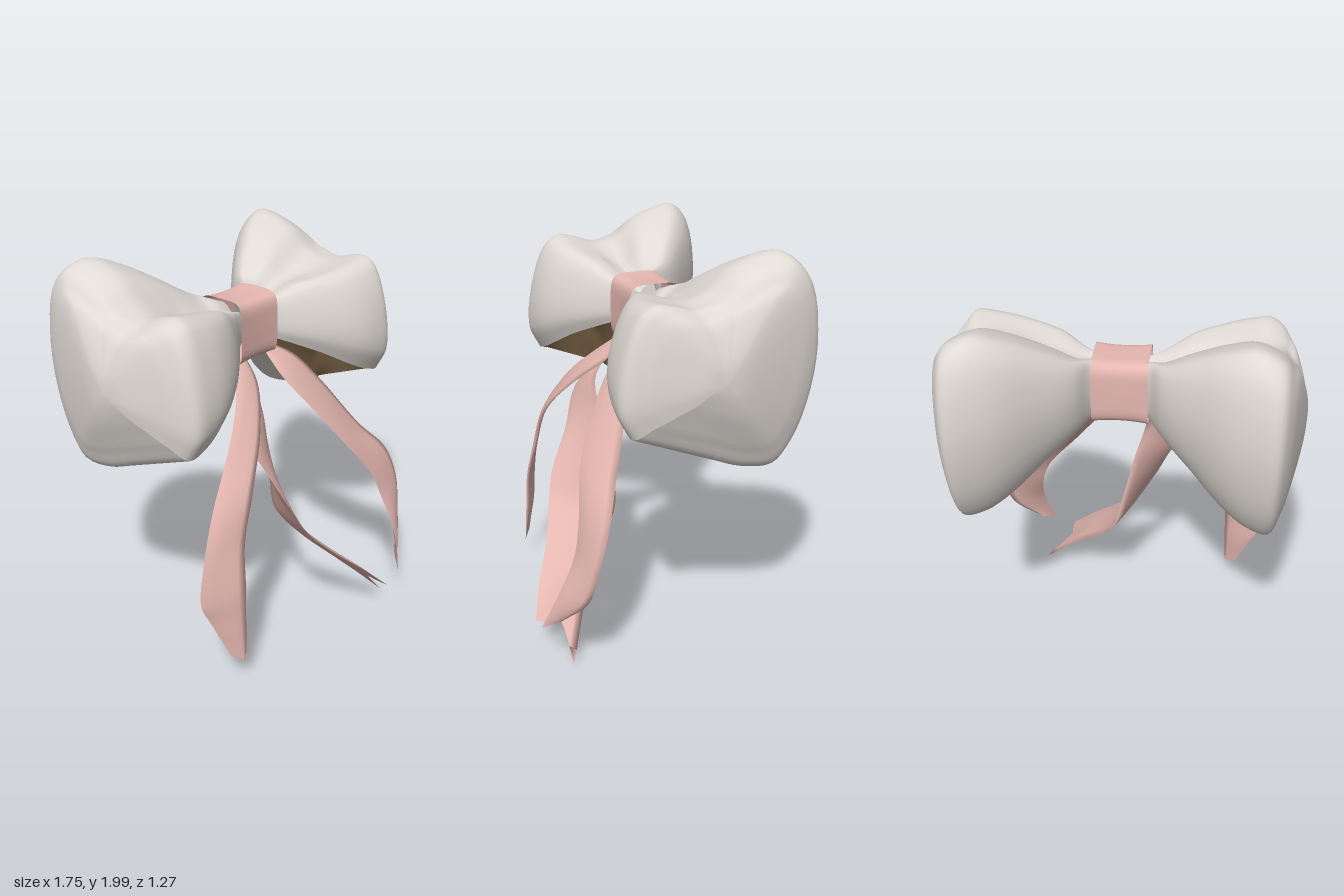
import * as THREE from 'three';

const mat = (name, color) => {
  const m = new THREE.MeshStandardMaterial({ color, side: THREE.DoubleSide });
  m.name = name;
  return m;
};
const V = (p) => new THREE.Vector3(...p);
const curve = (pts) => new THREE.CatmullRomCurve3(pts.map(V));
const { lerp, smoothstep } = THREE.MathUtils;

// Smooth skin over a grid of rows of points
function skin(name, rows, material, flip = false) {
  const w = rows[0].length, index = [];
  for (let i = 0; i < rows.length - 1; i++) {
    for (let j = 0; j < w - 1; j++) {
      const a = i * w + j, b = a + w;
      if (flip) index.push(a, a + 1, b, b, a + 1, b + 1);
      else index.push(a, b, a + 1, b, b + 1, a + 1);
    }
  }
  const g = new THREE.BufferGeometry().setFromPoints(rows.flat());
  g.setIndex(index);
  g.computeVertexNormals();
  const mesh = new THREE.Mesh(g, material);
  mesh.name = name;
  return mesh;
}

// Loop section: a runs front to back, b runs bottom to top, open underneath
const SECTION = curve([
  [0.06, 0.23, 0], [0, 0.36, 0], [0.02, 0.6, 0], [0.1, 0.82, 0], [0.17, 0.87, 0],
  [0.26, 0.86, 0], [0.38, 0.825, 0], [0.49, 0.84, 0], [0.6, 0.925, 0], [0.75, 0.985, 0],
  [0.86, 0.995, 0], [0.95, 0.9, 0], [1, 0.6, 0], [0.96, 0.3, 0], [0.88, 0.1, 0],
  [0.79, 0, 0], [0.62, 0.01, 0], [0.46, 0.07, 0],
]).getPoints(68);

// Loop extents from knot to outer end: x, front z, back z, top y, bottom y
const STATIONS = [
  [0.06, -0.01, -0.17, 1.72, 1.48], [0.13, 0.03, -0.2, 1.75, 1.45], [0.2, 0.09, -0.31, 1.78, 1.4],
  [0.35, 0.21, -0.45, 1.88, 1.27], [0.5, 0.29, -0.565, 1.965, 1.13], [0.62, 0.315, -0.615, 2.0, 1.045],
  [0.725, 0.31, -0.635, 1.96, 1.025], [0.775, 0.23, -0.57, 1.89, 1.12], [0.81, 0.13, -0.46, 1.83, 1.21],
  [0.845, 0.03, -0.32, 1.71, 1.32], [0.866, -0.04, -0.22, 1.6, 1.42], [0.873, -0.12, -0.12, 1.5, 1.5],
];
const RIM = 6; // last station with an open underside

// rise is the slope of the front ridge, crease the depth of the fold behind it
function bowLoop(name, side, rise, crease, outerMat, liningMat) {
  const depth = curve(STATIONS.map((s) => [s[0], s[1], s[2]]));
  const height = curve(STATIONS.map((s) => [s[0], s[3], s[4]]));
  const per = 4, n = (STATIONS.length - 1) * per, r = RIM * per;
  const shell = [], lining = [], end = [];
  for (let i = 0; i <= n; i++) {
    const d = depth.getPoint(i / n), h = height.getPoint(i / n);
    const at = (a, b, lift = 0) => new THREE.Vector3(side * d.x, lerp(h.z, h.y, b) + lift, lerp(d.y, d.z, a));
    // deepest halfway out, filled in at the outer end
    const fold = crease * Math.max(0, 1 - Math.abs(d.x - 0.38) / 0.3) - 0.05 * smoothstep(d.x, 0.66, 0.8);
    const drop = Math.min(0, 1.75 + rise * (d.x - 0.13) - lerp(h.z, h.y, 0.87));
    shell.push(SECTION.map((p) => {
      const c = p.y > 0.7 ? Math.max(0, 1 - Math.abs(p.x - 0.47) / 0.14) : 0;
      const ridge = smoothstep(p.y, 0.4, 0.85) * (1 - smoothstep(p.x, 0.25, 0.5));
      return at(p.x, p.y - fold * c, drop * ridge);
    }));
    const under = (dip) => [0, 0.06, 0.15, 0.3, 0.5, 0.7, 0.88, 1].map((t) =>
      at(0.46 - 0.4 * t, 0.07 + 0.16 * t + dip * Math.sin(Math.PI * t) ** 0.7));
    if (i <= r) lining.push(under(0.28 * Math.min(1, (r - i) / 5)));
    if (i >= r) end.push(under(0));
  }
  const group = new THREE.Group(), flip = side < 0;
  group.name = name;
  group.add(skin('loopFabric', shell, outerMat, flip), skin('loopLining', lining, liningMat, flip),
    skin('loopEndTuck', end, outerMat, flip));
  return group;
}

// Knot: a soft square band, slightly flared at its ends
function knot(material) {
  const rows = [];
  for (let i = 0; i <= 8; i++) {
    const t = i / 4 - 1, s = 0.95 + 0.05 * t * t, row = [];
    for (let j = 0; j <= 48; j++) {
      const q = (j / 48) * Math.PI * 2, c = Math.cos(q), n = Math.sin(q);
      const soft = (v) => Math.sign(v) * Math.abs(v) ** 0.4;
      row.push(new THREE.Vector3(0.133 * t, 1.6 + 0.165 * s * soft(n), -0.09 + 0.137 * s * soft(c)));
    }
    rows.push(row);
  }
  return skin('knot', rows, material);
}

// Ribbon tail: a thin padded strip between two edge curves, with a notched end
function tail(name, edgeA, edgeB, notch, material) {
  const a = curve(edgeA), b = curve(edgeB), rows = [], n = 36, m = 6;
  for (let i = 0; i <= n; i++) {
    const row = [], s = i / n;
    const across = b.getPoint(s).sub(a.getPoint(s));
    const normal = a.getTangent(s).add(b.getTangent(s)).cross(across).normalize();
    const pad = 0.011 * Math.min(1, (n - i) / 4);
    for (let j = 0; j <= 2 * m; j++) {
      const u = 1 - Math.abs(j / m - 1);
      const t = s * (1 - notch * (1 - Math.abs(2 * u - 1)));
      const lift = Math.sign(m - j) * pad * Math.sin(Math.PI * u) ** 0.5;
      row.push(a.getPoint(t).lerp(b.getPoint(t), u).addScaledVector(normal, u > 0 && u < 1 ? lift : 0));
    }
    rows.push(row);
  }
  return skin(name, rows, material);
}

export function createModel() {
  const cream = mat('cream fabric', 0xe0dad5);
  const brown = mat('brown lining', 0x8b7250);
  const pink = mat('pink ribbon', 0xe5b7b0);
  const model = new THREE.Group();
  model.name = 'ribbonBow';

  model.add(bowLoop('leftLoop', 1, 0.14, 0.04, cream, brown),
    bowLoop('rightLoop', -1, 0.21, 0.07, cream, brown), knot(pink));

  model.add(tail('rightTail',
    [[-0.13, 1.46, -0.02], [-0.24, 1.34, 0.1], [-0.4, 1.18, 0.2], [-0.6, 0.93, 0.27], [-0.7, 0.7, 0.3],
      [-0.735, 0.5, 0.31], [-0.69, 0.38, 0.33], [-0.61, 0.17, 0.39]],
    [[-0.05, 1.46, 0], [-0.06, 1.36, 0.08], [-0.2, 1.2, 0.22], [-0.4, 0.97, 0.34], [-0.49, 0.75, 0.37],
      [-0.53, 0.55, 0.41], [-0.54, 0.35, 0.42], [-0.55, 0.14, 0.43]], 0, pink));

  model.add(tail('middleTail',
    [[-0.13, 1.46, 0], [-0.27, 1.15, 0.2], [-0.2, 0.95, 0.28], [-0.13, 0.75, 0.38], [-0.06, 0.62, 0.42],
      [0.08, 0.47, 0.48], [0.24, 0.32, 0.57], [0.37, 0.19, 0.63]],
    [[-0.05, 1.46, -0.02], [-0.1, 1.26, 0.14], [-0.04, 1.03, 0.13], [0.02, 0.78, 0.1], [0.065, 0.6, 0.1],
      [0.14, 0.47, 0.18], [0.31, 0.27, 0.34], [0.54, 0.01, 0.49]], 0.07, pink));

  model.add(tail('leftTail',
    [[0.08, 1.47, 0], [0.08, 1.35, 0.13], [0.16, 1.2, 0.24], [0.3, 0.98, 0.36], [0.47, 0.75, 0.43],
      [0.52, 0.6, 0.47], [0.53, 0.43, 0.55], [0.48, 0.22, 0.63]],
    [[0.13, 1.49, -0.02], [0.25, 1.41, 0.06], [0.37, 1.25, 0.15], [0.55, 0.98, 0.27], [0.7, 0.8, 0.36],
      [0.735, 0.62, 0.42], [0.7, 0.45, 0.46], [0.55, 0.28, 0.55]], 0, pink));

  return model;
}
